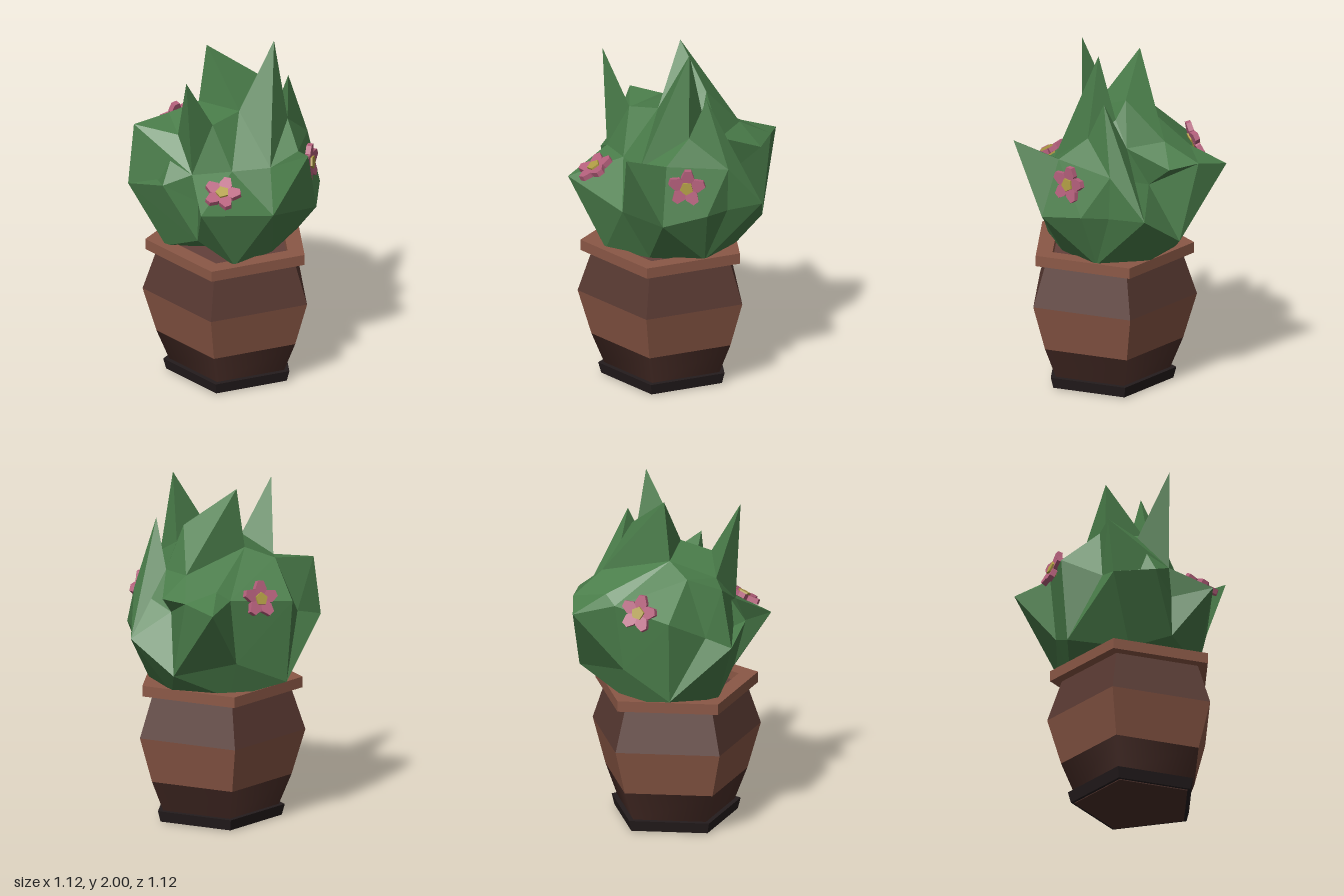
import * as THREE from 'three';
import { ConvexGeometry } from 'three/addons/geometries/ConvexGeometry.js';

const mat = (name, color) => Object.assign(new THREE.MeshStandardMaterial({ color }), { name });

const flat = (geo) => {
  const g = geo.index ? geo.toNonIndexed() : geo;
  g.computeVertexNormals();
  return g;
};

// Corners of the leafy body that also carry spikes
const CORNER = {
  saddle: [0.03, 1.73, -0.22], crown: [0.065, 1.62, 0.05], brow: [0, 1.59, 0.23], crownRight: [-0.22, 1.6, 0.015],
  notch: [0.09, 1.62, -0.21], crownBack: [-0.13, 1.5, -0.375], backLeft: [0.25, 1.53, -0.17],
  backEdge: [0.245, 1.36, -0.395], backDip: [0.08, 1.48, -0.31], backTip: [0.12, 1.12, -0.56],
  frontHub: [-0.05, 1.325, 0.37], frontRight: [-0.2, 1.5, 0.275], frontLeft: [0.3, 1.345, 0.1],
  leftUpper: [0.38, 1.4, -0.07], leftLower: [0.37, 1.1, 0.185], leftOuter: [0.495, 1.08, -0.075],
  temple: [-0.35, 1.54, 0.125], cheek: [-0.42, 1.22, 0.235], chin: [-0.46, 1.18, 0.385],
};

// Remaining corners of the body
const BODY = [
  // shoulders
  [-0.325, 1.43, -0.335], [-0.56, 1.345, 0.04], [-0.38, 1.38, -0.28], [0.13, 1.335, 0.235],
  // back lobe and the hollow beside it
  [-0.455, 1.35, -0.51], [-0.26, 1.39, -0.525], [-0.075, 1.38, -0.51], [-0.022, 1.267, -0.38],
  // widest points and the folds between them
  [0.12, 1.185, 0.555], [-0.02, 1.16, 0.355], [-0.2, 1.25, 0.44], [0.38, 1.12, -0.305], [0.25, 1.115, -0.39],
  // underside
  [-0.515, 0.865, 0.04], [-0.38, 1.0, -0.23], [-0.15, 0.94, -0.5], [-0.02, 0.92, 0.36],
  [-0.27, 0.8, 0.29], [0.2, 0.8, 0.32], [0.28, 0.8, 0.05], [0.25, 0.8, -0.26],
  [0, 0.78, -0.35], [-0.3, 0.78, -0.2], [-0.01, 0.74, 0],
];

// Spikes: tip and the loop of corners it rises from
const SPIKES = [
  [[0.17, 2.0, -0.155], ['crown', 'frontLeft', 'backLeft', 'notch']],
  [[-0.19, 1.94, -0.02], ['crownRight', 'crown', 'saddle', 'crownBack']],
  [[-0.07, 1.9, 0.4], ['frontHub', 'brow', 'frontRight']],
  [[0.2, 1.75, -0.26], ['backLeft', 'backEdge', 'backTip', 'backDip']],
  [[0.56, 1.49, 0.12], ['frontLeft', 'leftLower', 'leftOuter', 'leftUpper']],
  [[-0.455, 1.525, 0.33], ['frontHub', 'frontRight', 'temple', 'cheek', 'chin']],
];

// Triangulate the corners by direction from the heart, then move them to their true places
function bodyGeometry() {
  const heart = new THREE.Vector3(0, 1.1, 0.15);
  const corners = [...Object.values(CORNER), ...BODY].map((p) => new THREE.Vector3(...p));
  const dirs = corners.map((p) => p.clone().sub(heart).normalize());
  const geo = new ConvexGeometry(dirs);
  const pos = geo.attributes.position;
  const v = new THREE.Vector3();
  for (let i = 0; i < pos.count; i++) {
    v.fromBufferAttribute(pos, i);
    let best = 0;
    dirs.forEach((d, k) => { if (d.distanceToSquared(v) < dirs[best].distanceToSquared(v)) best = k; });
    pos.setXYZ(i, ...corners[best].toArray());
  }
  return flat(geo);
}

// Open pyramid from a loop of corners up to a tip
function spikeGeometry(tip, loop) {
  const pts = loop.flatMap((name, i) => [...CORNER[name], ...CORNER[loop[(i + 1) % loop.length]], ...tip]);
  return flat(new THREE.BufferGeometry().setAttribute('position', new THREE.Float32BufferAttribute(pts, 3)));
}

// Five-sided tapered band with a corner towards +x
const band = (rTop, rBottom, y0, y1, open = true) =>
  new THREE.CylinderGeometry(rTop, rBottom, y1 - y0, 5, 1, open, Math.PI / 2).translate(0, (y0 + y1) / 2, 0);

const pentagon = (r) => Array.from({ length: 5 }, (_, i) =>
  new THREE.Vector2(r * Math.cos(i * Math.PI * 0.4), r * Math.sin(i * Math.PI * 0.4)));

export function createModel() {
  const leaf = mat('leaf green', 0x4a7d4a);
  const clay = mat('clay', 0x8b5846);
  const clayShade = mat('dark clay', 0x573831);
  const clayFoot = mat('deep brown clay', 0x4a2e28);
  const saucerMat = mat('black brown', 0x241c1d);
  const soilMat = mat('soil', 0x63403a);
  const pink = mat('petal pink', 0xb5607c);
  const yellow = mat('pollen yellow', 0xb09c44);

  const model = new THREE.Group();
  model.name = 'pottedPlant';
  const add = (parent, name, geo, material) => {
    const m = new THREE.Mesh(geo, material);
    m.name = name;
    parent.add(m);
    return m;
  };

  // Pot
  const pot = new THREE.Group();
  pot.name = 'pot';
  pot.position.set(-0.006, 0, 0.02);
  model.add(pot);
  add(pot, 'potUpperBand', flat(band(0.41, 0.498, 0.51, 0.77)), clayShade);
  add(pot, 'potMiddleBand', flat(band(0.498, 0.42, 0.245, 0.51)), clay);
  add(pot, 'potLowerBand', band(0.42, 0.345, 0.06, 0.245), clayFoot);
  add(pot, 'potFoot', flat(band(0.382, 0.365, 0.005, 0.068, false)), saucerMat);
  add(pot, 'potBottom', flat(band(0.345, 0.345, 0, 0.008, false)), clayFoot);
  add(pot, 'soil', flat(band(0.4, 0.4, 0.75, 0.765, false)), soilMat);

  const rimShape = new THREE.Shape(pentagon(0.482));
  rimShape.holes.push(new THREE.Path(pentagon(0.37)));
  const rim = new THREE.ExtrudeGeometry(rimShape, { depth: 0.062, bevelEnabled: false });
  add(pot, 'potRim', flat(rim.rotateX(-Math.PI / 2).translate(0, 0.753, 0)), clay);

  // Foliage
  const foliage = new THREE.Group();
  foliage.name = 'foliage';
  model.add(foliage);
  add(foliage, 'leafyBody', bodyGeometry(), leaf);
  SPIKES.forEach(([tip, loop]) => add(foliage, 'leafSpike', spikeGeometry(tip, loop), leaf));

  // Flowers: five pointed petals around a five-sided centre, facing +z before placing
  const petalShape = new THREE.Shape([
    [-0.024, 0.015], [0.024, 0.015], [0.038, 0.062], [0.016, 0.108], [-0.02, 0.104], [-0.036, 0.06],
  ].map((p) => new THREE.Vector2(...p)));
  const petal = flat(new THREE.ExtrudeGeometry(petalShape, { depth: 0.03, bevelEnabled: false }).rotateX(0.12));
  const centre = flat(new THREE.CylinderGeometry(0.038, 0.044, 0.05, 5).rotateX(Math.PI / 2).translate(0, 0, 0.02));

  [
    ['frontFlower', [0.155, 1.25, 0.382], [0.26, 0.86, 0.43], 0],
    ['leftFlower', [0.365, 1.285, -0.18], [0.95, 0.08, -0.28], 0],
    ['rightFlower', [-0.455, 1.37, -0.13], [-0.9, 0.35, -0.27], Math.PI / 5],
  ].forEach(([name, at, facing, spin]) => {
    const flower = new THREE.Group();
    flower.name = name;
    flower.position.set(...at);
    flower.quaternion.setFromUnitVectors(new THREE.Vector3(0, 0, 1), new THREE.Vector3(...facing).normalize());
    for (let i = 0; i < 5; i++) add(flower, 'petal', petal, pink).rotation.z = spin + i * Math.PI * 0.4;
    add(flower, 'flowerCentre', centre, yellow);
    model.add(flower);
  });

  return model;
}
